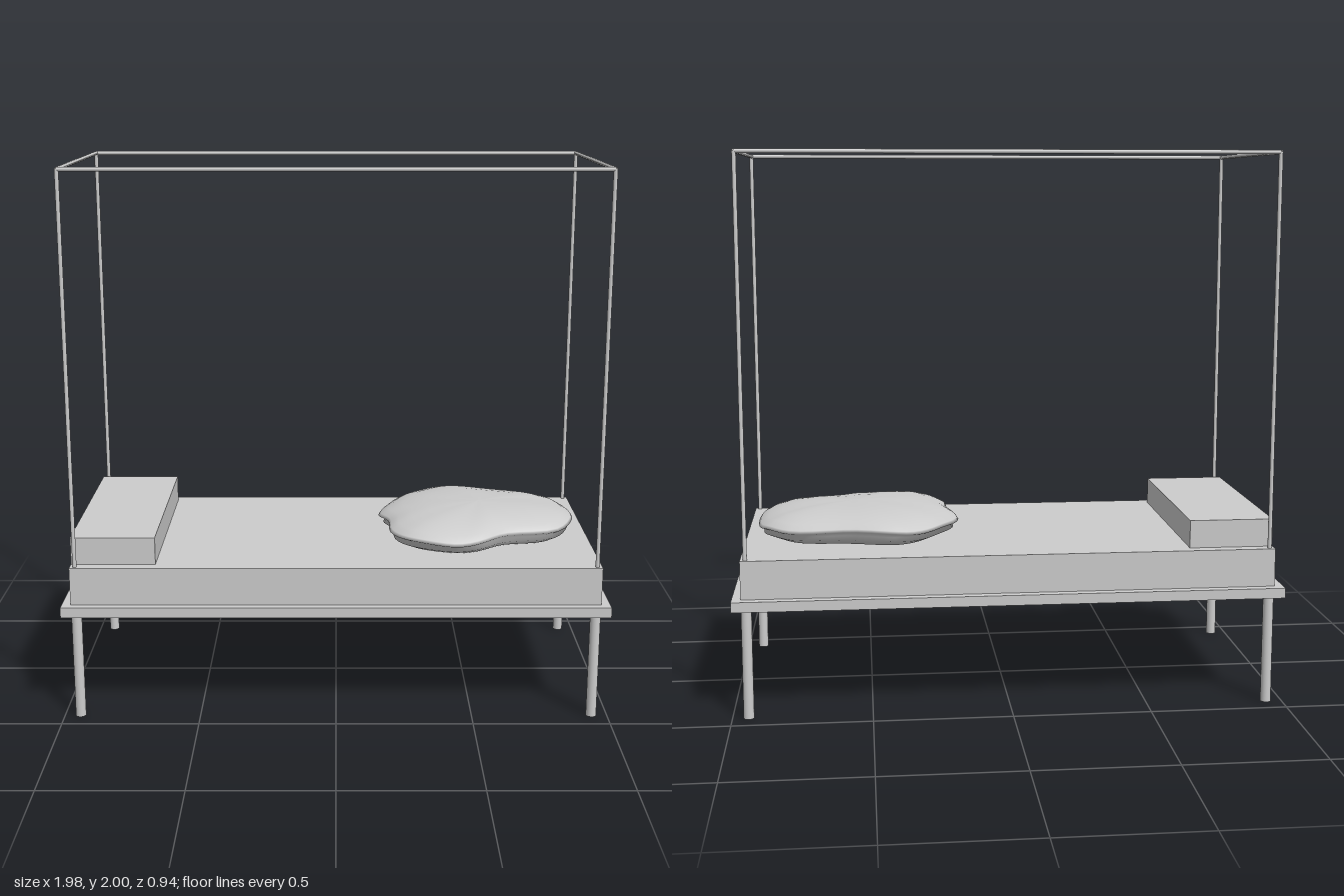
import * as THREE from 'three';

export function createModel() {
  const group = new THREE.Group();
  const grey = new THREE.MeshStandardMaterial({ color: 0xcccccc });
  grey.name = 'lightGrey';

  function add(name, geometry, x, y, z) {
    const mesh = new THREE.Mesh(geometry, grey);
    mesh.name = name;
    mesh.position.set(x, y, z);
    group.add(mesh);
    return mesh;
  }

  // Bed base, mattress and box-shaped pillow
  add('bedBase', new THREE.BoxGeometry(1.984, 0.037, 0.944), 0, 0.42, 0);
  add('mattress', new THREE.BoxGeometry(1.92, 0.139, 0.878), 0, 0.508, 0);
  add('pillow', new THREE.BoxGeometry(0.305, 0.102, 0.794), -0.806, 0.628, 0);

  // Legs, canopy posts and top rails
  const px = 0.942, pz = 0.423, r = 0.0075;
  for (const sx of [-1, 1]) {
    for (const sz of [-1, 1]) {
      add('leg', new THREE.CylinderGeometry(0.019, 0.019, 0.402, 24), sx * px, 0.201, sz * pz);
      add('canopyPost', new THREE.CylinderGeometry(r, r, 1.42, 16), sx * px, 1.285, sz * pz);
    }
    const side = add('canopySideRail', new THREE.CylinderGeometry(r, r, 2 * pz, 16), sx * px, 2 - r, 0);
    side.rotation.x = Math.PI / 2;
    const long = add('canopyLongRail', new THREE.CylinderGeometry(r, r, 2 * px, 16), 0, 2 - r, sx * pz);
    long.rotation.z = Math.PI / 2;
  }

  add('crumpledBlanket', blanketGeometry(), 0, 0, 0);
  return group;
}

// Crumpled blanket: an irregular outline scaled into stacked rings
function blanketGeometry() {
  const outline = [
    [0.40, -0.34], [0.60, -0.295], [0.80, -0.25], [0.88, -0.17], [0.91, -0.10], [0.905, 0.055],
    [0.835, 0.19], [0.64, 0.24], [0.52, 0.32], [0.40, 0.34], [0.265, 0.295], [0.205, 0.20],
    [0.20, 0.08], [0.165, -0.045], [0.215, -0.175], [0.29, -0.28],
  ];
  const curve = new THREE.CatmullRomCurve3(outline.map(([x, z]) => new THREE.Vector3(x, 0, z)), true);
  // [scale, height, waviness], from the underside over the rim to the crown
  const rings = [
    [0.001, 0.582, 0], [0.6, 0.582, 0], [0.84, 0.585, 0.003], [0.95, 0.604, 0.006],
    [0.92, 0.618, 0.006], [1, 0.632, 0.01], [0.98, 0.643, 0.009], [0.9, 0.660, 0.007],
    [0.76, 0.677, 0.005], [0.55, 0.690, 0.003], [0.3, 0.697, 0.001], [0.001, 0.699, 0],
  ];
  const n = 64, cx = 0.55, cz = 0;
  const positions = [], index = [];
  rings.forEach(([s, y, wave], j) => {
    for (let i = 0; i < n; i++) {
      const p = curve.getPoint(i / n);
      const a = (i / n) * Math.PI * 2;
      const bump = wave * (Math.sin(a * 3 + 1) * 0.6 + Math.sin(a * 7) * 0.4);
      positions.push(cx + (p.x - cx) * s, y + bump, cz + (p.z - cz) * s);
      if (j < rings.length - 1) {
        const a0 = j * n + i, b0 = j * n + ((i + 1) % n);
        index.push(a0, a0 + n, b0, b0, a0 + n, b0 + n);
      }
    }
  });
  const geometry = new THREE.BufferGeometry();
  geometry.setAttribute('position', new THREE.Float32BufferAttribute(positions, 3));
  geometry.setIndex(index);
  geometry.computeVertexNormals();
  return geometry;
}
